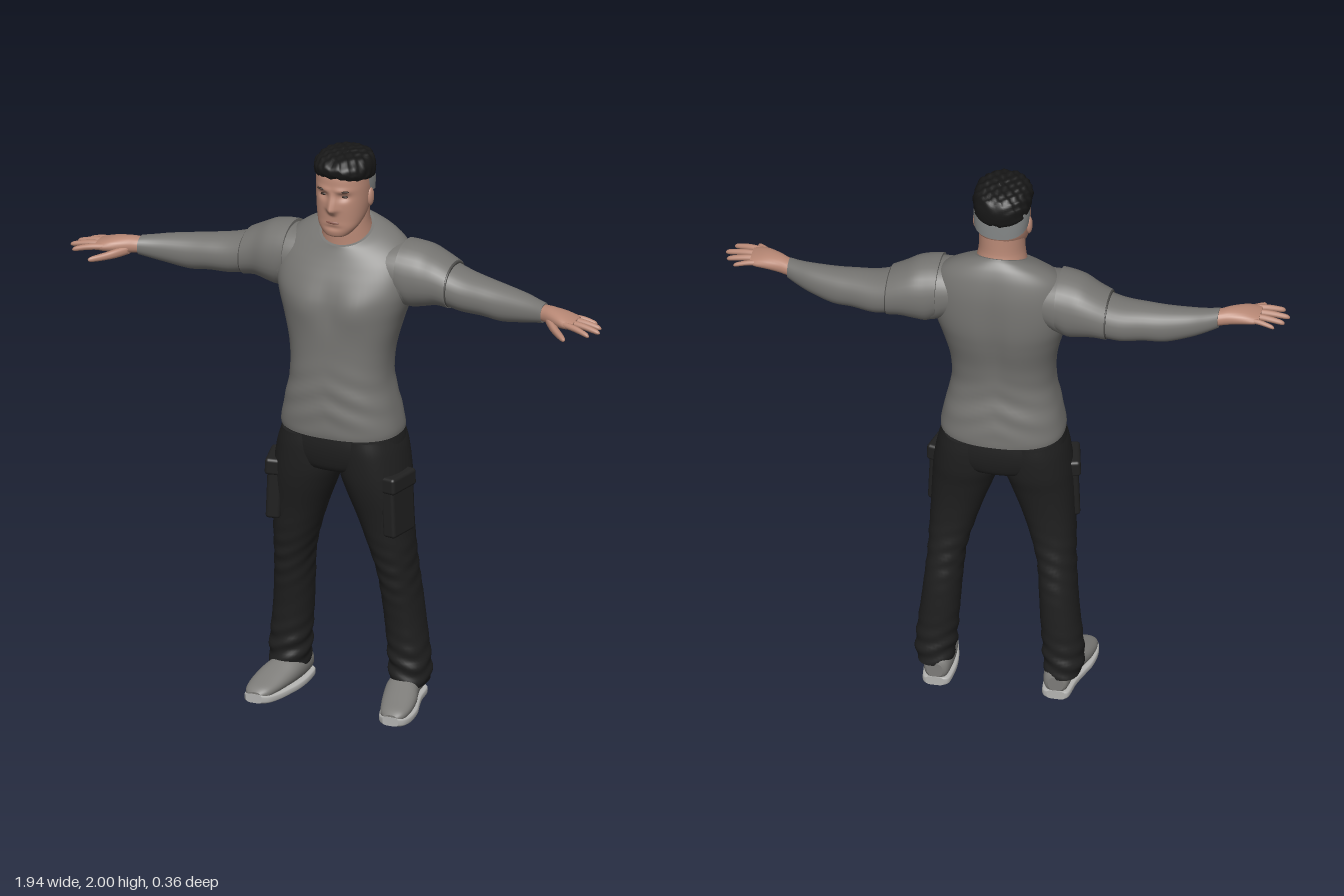
import * as THREE from 'three';
import { RoundedBoxGeometry } from 'three/addons/geometries/RoundedBoxGeometry.js';

const paint = (name, color) => Object.assign(new THREE.MeshStandardMaterial({ color }), { name });
const gauss = (d, w) => Math.exp(-(d * d) / (w * w));
const clamp01 = (v) => Math.min(1, Math.max(0, v));

// Smooth closed skin through rows [t, a0, a1, b0, b1, power, tilt] along an axis.
// axis y: a = x, b = z;  axis x: a = y, b = z;  axis z: a = x, b = y.
function loft(axis, rows, { seg = 32, sub = 4, shape } = {}) {
  const full = rows.map((r) => [...r.slice(0, 5), r[5] ?? 2.2, r[6] ?? 0]);
  const rings = [];
  for (let i = 0; i < full.length - 1; i++) {
    const q = [i - 1, i, i + 1, i + 2].map((k) => full[Math.min(full.length - 1, Math.max(0, k))]);
    for (let s = 0; s < sub; s++) {
      const u = s / sub;
      rings.push(q[1].map((p1, c) => {
        const [p0, , p2, p3] = q.map((r) => r[c]);
        return p1 + 0.5 * u * (p2 - p0 + u * (2 * p0 - 5 * p1 + 4 * p2 - p3 + u * (3 * (p1 - p2) + p3 - p0)));
      }));
    }
  }
  rings.push(full[full.length - 1]);
  const pos = [], idx = [];
  const tri = (a, b, c) => (axis === 'y' ? idx.push(a, c, b) : idx.push(a, b, c));
  const place = (t, a, b) => {
    const v = axis === 'y' ? new THREE.Vector3(a, t, b) : axis === 'x' ? new THREE.Vector3(t, a, b) : new THREE.Vector3(a, b, t);
    if (shape) shape(v);
    pos.push(v.x, v.y, v.z);
  };
  const ring = ([t, a0, a1, b0, b1, p, tilt]) => {
    for (let j = 0; j < seg; j++) {
      const th = (j / seg) * Math.PI * 2, c = Math.cos(th), s = Math.sin(th);
      const da = Math.sign(c) * Math.abs(c) ** (2 / p) * (a1 - a0) / 2;
      const db = Math.sign(s) * Math.abs(s) ** (2 / p) * (b1 - b0) / 2;
      place(t + tilt * db, (a0 + a1) / 2 + da, (b0 + b1) / 2 + db);
    }
  };
  rings.forEach(ring);
  for (let i = 0; i < rings.length - 1; i++) {
    for (let j = 0; j < seg; j++) {
      const a = i * seg + j, b = i * seg + ((j + 1) % seg);
      tri(a, b, b + seg);
      tri(a, b + seg, a + seg);
    }
  }
  // end caps with their own vertices
  [rings[0], rings[rings.length - 1]].forEach((r, end) => {
    const base = pos.length / 3;
    ring(r);
    place(r[0], (r[1] + r[2]) / 2, (r[3] + r[4]) / 2);
    for (let j = 0; j < seg; j++) {
      const a = base + j, b = base + ((j + 1) % seg);
      end ? tri(a, b, base + seg) : tri(b, a, base + seg);
    }
  });
  const g = new THREE.BufferGeometry();
  g.setAttribute('position', new THREE.Float32BufferAttribute(pos, 3));
  g.setIndex(idx);
  g.computeVertexNormals();
  return g;
}

// Row symmetric about x = 0
const sym = ([t, hw, z0, z1, p, tilt]) => [t, -hw, hw, z0, z1, p, tilt];

function blob(x, y, z, sx, sy, sz, rz = 0) {
  return new THREE.SphereGeometry(1, 20, 14).scale(sx, sy, sz).rotateZ(rz).translate(x, y, z);
}

function mirrored(geo) {
  const g = geo.clone().scale(-1, 1, 1);
  if (!g.index) g.setIndex([...Array(g.attributes.position.count).keys()]);
  const ix = g.index.array;
  for (let i = 0; i < ix.length; i += 3) [ix[i], ix[i + 1]] = [ix[i + 1], ix[i]];
  return g;
}

export function createModel() {
  const model = new THREE.Group();
  model.name = 'standingMan';
  const shirt = paint('grey shirt', 0x767572), trousers = paint('black cloth', 0x202020);
  const skin = paint('skin', 0xb88875), hair = paint('hair', 0x171717), fade = paint('shaved hair', 0x858888);
  const shoe = paint('grey shoe', 0x7d7c79), sole = paint('pale sole', 0xb4b4b2);
  const lip = paint('lips', 0x8c5c50), dark = paint('brow', 0x33261f), seam = paint('seam', 0x4c4b49);
  const add = (name, geo, mat) => {
    const m = new THREE.Mesh(geo, mat);
    m.name = name;
    model.add(m);
  };
  const pair = (name, geo, mat) => {
    add(name + 'Left', geo, mat);
    add(name + 'Right', mirrored(geo), mat);
  };

  // Shirt body with spine groove, chest and soft waist folds
  add('shirtBody', loft('y', [
    [1.005, 0.211, -0.16, 0.153, 2.4], [1.03, 0.21, -0.16, 0.156, 2.4], [1.1, 0.196, -0.153, 0.156, 2.4],
    [1.2, 0.176, -0.137, 0.15, 2.4], [1.3, 0.18, -0.145, 0.144, 2.4], [1.4, 0.204, -0.168, 0.142, 2.4],
    [1.47, 0.226, -0.18, 0.138, 2.4], [1.53, 0.238, -0.183, 0.128, 2.4, -0.1], [1.59, 0.238, -0.18, 0.11, 2.3, -0.2],
    [1.64, 0.222, -0.168, 0.09, 2.2, -0.3], [1.675, 0.185, -0.152, 0.075, 2.1, -0.38],
    [1.7, 0.135, -0.135, 0.063, 2, -0.42], [1.712, 0.094, -0.122, 0.058, 2, -0.45],
  ].map(sym), {
    seg: 64, sub: 6, shape: (v) => {
      if (v.z < -0.08) v.z += 0.012 * gauss(v.x, 0.035) * gauss(v.y - 1.42, 0.2);
      if (v.z > 0.05) v.z += (0.01 * gauss(Math.abs(v.x) - 0.09, 0.06) - 0.006 * gauss(v.x, 0.03)) * gauss(v.y - 1.47, 0.07);
      v.z += 0.003 * Math.sin(v.y * 75 + Math.abs(v.x) * 30) * gauss(v.y - 1.14, 0.09);
    },
  }), shirt);

  // Sleeves: long inner sleeve and a loose shoulder cap with a hem
  pair('sleeve', loft('x', [
    [0.14, 1.5, 1.67, -0.15, 0.05], [0.22, 1.46, 1.675, -0.163, 0.05], [0.28, 1.47, 1.662, -0.167, 0.036],
    [0.34, 1.48, 1.63, -0.162, 0.018], [0.42, 1.465, 1.602, -0.15, 0.014], [0.5, 1.465, 1.59, -0.126, 0.014],
    [0.57, 1.46, 1.582, -0.107, 0.016], [0.65, 1.475, 1.574, -0.078, 0.022], [0.7, 1.488, 1.568, -0.053, 0.03],
    [0.738, 1.5, 1.565, -0.032, 0.04],
  ]), shirt);
  pair('shoulderCap', loft('x', [
    [0.205, 1.48, 1.685, -0.168, 0.052], [0.24, 1.458, 1.683, -0.171, 0.05], [0.285, 1.464, 1.673, -0.173, 0.042],
    [0.33, 1.472, 1.65, -0.17, 0.027], [0.375, 1.468, 1.627, -0.164, 0.021],
  ]), shirt);
  pair('sleeveHem', loft('x', [
    [0.373, 1.471, 1.624, -0.162, 0.019], [0.379, 1.471, 1.621, -0.161, 0.019],
  ], { sub: 1 }), seam);

  // Hands: palm, four fingers and thumb
  pair('palm', loft('x', [
    [0.7, 1.505, 1.557, -0.035, 0.025], [0.74, 1.507, 1.561, -0.025, 0.04], [0.775, 1.508, 1.565, -0.016, 0.06],
    [0.82, 1.512, 1.562, -0.012, 0.085], [0.855, 1.516, 1.553, -0.008, 0.094], [0.873, 1.522, 1.547, 0, 0.09],
  ], { seg: 24 }), skin);
  [[0.005, -0.004, 0.928, 0.009], [0.03, 0.03, 0.957, 0.011], [0.055, 0.068, 0.968, 0.011], [0.08, 0.108, 0.945, 0.011]]
    .forEach(([z0, z1, tip, r], i) => {
      const row = (u, k) => {
        const x = 0.84 + (tip - 0.84) * u, z = z0 + (z1 - z0) * u, y = 1.537 - 0.016 * u * u;
        return [x, y - r * k, y + r * k, z - r * k, z + r * k, 2];
      };
      pair('finger' + (i + 1), loft('x', [row(0, 1), row(0.35, 1), row(0.6, 0.95), row(0.88, 0.8), row(0.97, 0.5), row(1, 0.1)], { seg: 12, sub: 3 }), skin);
    });
  pair('thumb', loft('x', [
    [0.765, 1.508, 1.54, 0.02, 0.055], [0.795, 1.502, 1.535, 0.05, 0.09], [0.825, 1.5, 1.527, 0.083, 0.118],
    [0.85, 1.5, 1.522, 0.11, 0.14], [0.866, 1.502, 1.518, 0.13, 0.15], [0.872, 1.508, 1.512, 0.14, 0.147],
  ], { seg: 14 }), skin);

  // Neck and head; the face is shaped with sockets, nose and chin
  add('neck', loft('y', [
    [1.64, 0.095, -0.115, 0.052, 2, -0.4], [1.7, 0.087, -0.116, 0.05, 2, -0.35],
    [1.75, 0.079, -0.108, 0.05, 2, -0.15], [1.82, 0.078, -0.105, 0.04, 2],
  ].map(sym)), skin);
  add('head', loft('y', [
    [1.716, 0.025, 0.045, 0.08], [1.724, 0.045, 0.01, 0.09], [1.75, 0.068, -0.03, 0.095], [1.78, 0.081, -0.075, 0.094],
    [1.82, 0.088, -0.105, 0.095], [1.86, 0.091, -0.115, 0.094], [1.9, 0.092, -0.118, 0.093],
    [1.94, 0.089, -0.118, 0.086], [1.97, 0.07, -0.09, 0.06], [1.985, 0.03, -0.05, 0.02],
  ].map(sym), {
    seg: 96, sub: 8, shape: (v) => {
      if (v.z < 0.04) return;
      const ax = Math.abs(v.x), y = v.y;
      const ridge = y > 1.822 ? clamp01((1.885 - y) / 0.06) : clamp01((y - 1.797) / 0.022);
      v.z += 0.025 * ridge * gauss(v.x, 0.011 + 0.006 * ridge);
      v.z -= 0.011 * gauss(ax - 0.037, 0.02) * gauss(y - 1.866, 0.014);
      v.z += 0.005 * gauss(y - 1.888, 0.01) * gauss(ax - 0.03, 0.03);
      v.z -= 0.005 * gauss(y - 1.753, 0.009) * gauss(v.x, 0.03);
    },
  }), skin);
  pair('ear', blob(0.091, 1.84, -0.02, 0.011, 0.033, 0.019), skin);
  pair('eye', blob(0.037, 1.866, 0.075, 0.013, 0.005, 0.007), dark);
  pair('eyebrow', blob(0.039, 1.888, 0.087, 0.02, 0.0035, 0.006, 0.12), dark);
  add('lips', blob(0, 1.772, 0.09, 0.025, 0.006, 0.007), lip);

  // Short hair on top, shaved sides and back
  add('shavedSides', loft('y', [
    [1.86, 0.0925, -0.121, 0.05, 2.3, 0.3], [1.89, 0.0945, -0.122, 0.055, 2.3, 0.25], [1.93, 0.094, -0.123, 0.06, 2.3, 0.15],
  ].map(sym), { seg: 48 }), fade);
  add('hairTop', loft('y', [
    [1.91, 0.094, -0.123, 0.091, 2.3, 0.2], [1.925, 0.098, -0.129, 0.099, 2.3, 0.18], [1.955, 0.097, -0.13, 0.1, 2.3, 0.08],
    [1.978, 0.085, -0.117, 0.088, 2.2], [1.991, 0.06, -0.085, 0.06, 2], [1.996, 0.012, -0.03, 0.005, 2],
  ].map(sym), {
    seg: 72, sub: 6, shape: (v) => {
      const n = Math.sin(v.x * 150 + v.y * 60) * Math.sin(v.z * 140 + v.y * 90);
      v.y += 0.004 * n;
      v.x += 0.003 * n * Math.sign(v.x);
    },
  }), hair);

  // Trousers: seat, legs with creases, cargo pockets
  add('trouserSeat', loft('y', [
    [0.862, 0.1, -0.09, 0.08], [0.88, 0.185, -0.135, 0.125], [0.92, 0.216, -0.152, 0.142, 2.4],
    [0.97, 0.214, -0.158, 0.15, 2.4], [1.02, 0.203, -0.153, 0.148, 2.4],
  ].map(sym), { seg: 48 }), trousers);
  pair('trouserLeg', loft('y', [
    [0.075, 0.157, 0.28, -0.145, 0.02, 2.4], [0.12, 0.15, 0.288, -0.145, 0.018], [0.2, 0.145, 0.282, -0.141, 0.019],
    [0.3, 0.138, 0.27, -0.14, 0.027], [0.4, 0.132, 0.26, -0.136, 0.044], [0.5, 0.122, 0.252, -0.122, 0.064],
    [0.6, 0.095, 0.249, -0.11, 0.084], [0.7, 0.062, 0.245, -0.112, 0.102], [0.8, 0.024, 0.241, -0.126, 0.126],
    [0.87, 0.002, 0.235, -0.142, 0.138], [0.95, 0.002, 0.22, -0.15, 0.144], [1.0, 0.01, 0.203, -0.148, 0.142],
  ], {
    seg: 40, sub: 8, shape: (v) => {
      const w = gauss(v.y - 0.14, 0.09) + 0.7 * gauss(v.y - 0.5, 0.1);
      v.z += 0.0035 * w * Math.sin(v.y * 110 + v.x * 40);
      v.x += 0.003 * w * Math.sin(v.y * 95 + v.z * 35);
    },
  }), trousers);
  const pocketPart = (h, w, d, y) => new RoundedBoxGeometry(w, h, d, 3, 0.012).rotateY(-0.22).rotateZ(0.04).translate(0.222, y, 0.05);
  pair('cargoPocket', pocketPart(0.19, 0.05, 0.125, 0.755), trousers);
  pair('pocketFlap', pocketPart(0.06, 0.06, 0.135, 0.85), trousers);

  // Shoes, turned slightly outward, on pale soles
  const foot = [
    [-0.146, 0.18, 0.235, 0.03, 0.085], [-0.13, 0.162, 0.248, 0.018, 0.108], [-0.06, 0.155, 0.258, 0.018, 0.112],
    [0, 0.158, 0.275, 0.018, 0.11], [0.05, 0.168, 0.29, 0.018, 0.094], [0.11, 0.185, 0.296, 0.018, 0.074],
    [0.155, 0.203, 0.29, 0.018, 0.06], [0.178, 0.225, 0.274, 0.022, 0.046],
  ];
  pair('shoe', loft('z', foot), shoe);
  pair('shoeSole', loft('z', foot.map(([z, x0, x1], i) => {
    const lift = i === 7 ? 0.008 : i === 6 ? 0.003 : 0;
    return [z * 1.02, x0 - 0.004, x1 + 0.004, lift, 0.032 + lift, 4];
  })), sole);
  return model;
}
